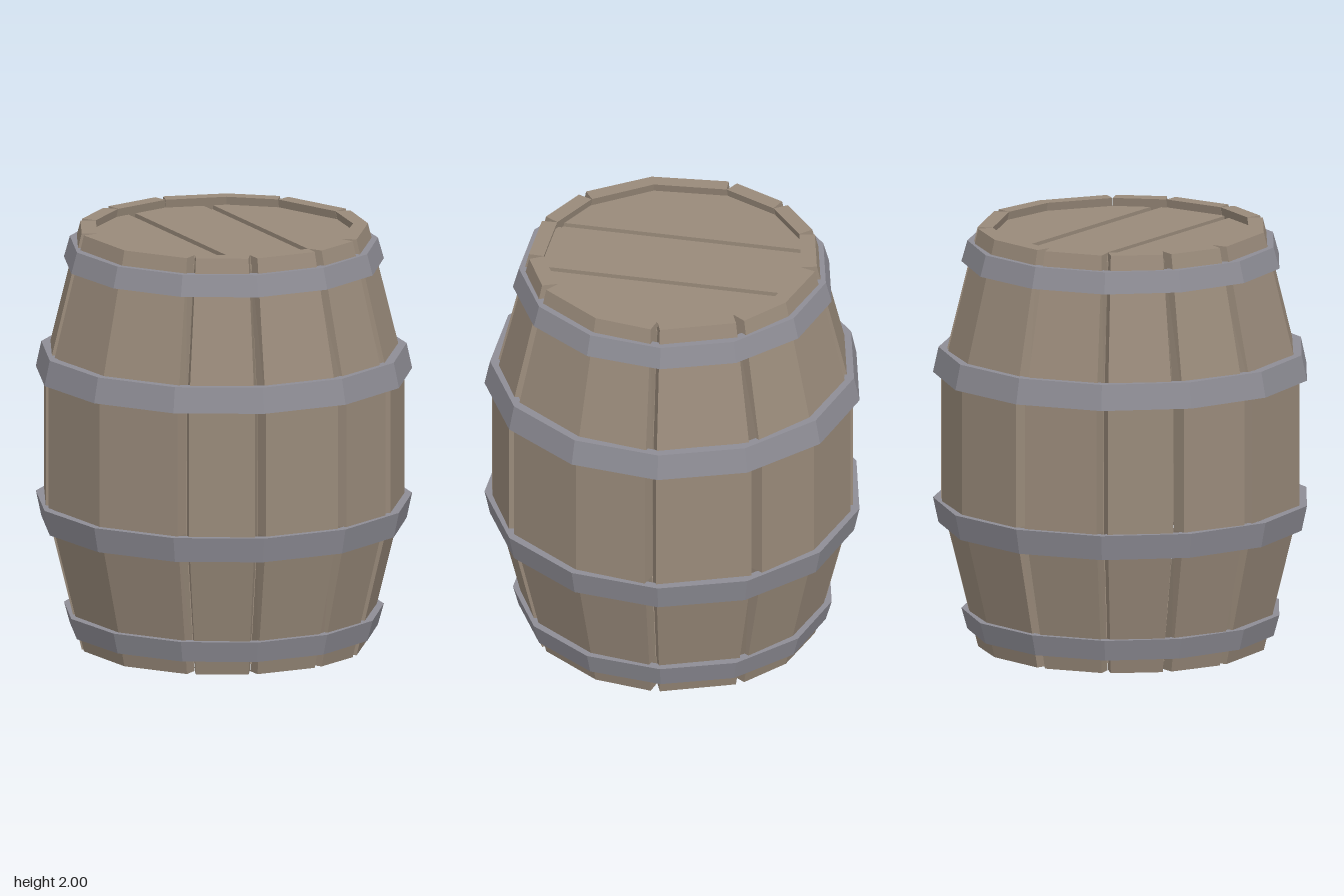
import * as THREE from 'three';

const SIDES = 13;
const RAD = Math.PI / 180;
const STEP = 360 / SIDES;

// Point at angle a (degrees, clockwise from the back as seen from above)
const polar = (r, a, y) => new THREE.Vector3(r * Math.sin(a * RAD), y, -r * Math.cos(a * RAD));

// One stave: lofted between heights, wedge-sided so neighbours leave a V groove
function staveGeometry(start, end, mids) {
  const levels = [[0, 0.68], [0.7, 0.852], [1.3, 0.852], [2, 0.68]];
  const gap = 1.8, thickness = 0.07;
  const outerA = [start + gap, ...mids, end - gap];
  const innerA = [start + 0.1, ...mids, end - 0.1];
  const n = outerA.length;
  const rings = levels.map(([y, r]) => [
    ...outerA.map(a => polar(r, a, y)),
    ...innerA.map(a => polar(r - thickness, a, y)).reverse(),
  ]);
  const pos = [];
  const quad = (a, b, c, d) => [a, b, c, a, c, d].forEach(p => pos.push(p.x, p.y, p.z));
  for (let k = 0; k < rings.length - 1; k++) {
    const lo = rings[k], hi = rings[k + 1];
    for (let i = 0; i < lo.length; i++) {
      const j = (i + 1) % lo.length;
      quad(lo[i], hi[i], hi[j], lo[j]);
    }
  }
  const bottom = rings[0], top = rings[rings.length - 1], last = 2 * n - 1;
  for (let i = 0; i < n - 1; i++) {
    quad(top[i], top[last - i], top[last - i - 1], top[i + 1]);
    quad(bottom[i + 1], bottom[last - i - 1], bottom[last - i], bottom[i]);
  }
  const geo = new THREE.BufferGeometry();
  geo.setAttribute('position', new THREE.Float32BufferAttribute(pos, 3));
  geo.computeVertexNormals();
  return geo;
}

// Hoop: closed four-point profile turned around the barrel
function hoopGeometry(y0, r0, y1, r1) {
  const t = 0.045;
  const profile = [[r0, y0], [r1, y1], [r1 - t, y1], [r0 - t, y0], [r0, y0]]
    .map(([r, y]) => new THREE.Vector2(r, y));
  const geo = new THREE.LatheGeometry(profile, SIDES, Math.PI).toNonIndexed();
  geo.computeVertexNormals();
  return geo;
}

// Keep the part of a convex outline on one side of the line x = limit
function clipX(points, limit, sign) {
  const out = [];
  points.forEach((p, i) => {
    const q = points[(i + 1) % points.length];
    const pIn = sign * (p.x - limit) >= 0, qIn = sign * (q.x - limit) >= 0;
    if (pIn) out.push(p);
    if (pIn !== qIn) out.push(p.clone().lerp(q, (limit - p.x) / (q.x - p.x)));
  });
  return out;
}

// Slab of the lid outline between two x limits
function lidSlab(x0, x1, y0, y1) {
  let pts = [];
  for (let k = 0; k < SIDES; k++) {
    const p = polar(0.635, k * STEP, 0);
    pts.push(new THREE.Vector2(p.x, -p.z));
  }
  pts = clipX(clipX(pts, x0, 1), x1, -1);
  const geo = new THREE.ExtrudeGeometry(new THREE.Shape(pts), { depth: y1 - y0, bevelEnabled: false });
  return geo.rotateX(-Math.PI / 2).translate(0, y0, 0);
}

export function createModel() {
  const wood = new THREE.MeshStandardMaterial({ color: 0x998a7a, flatShading: true });
  wood.name = 'wood';
  const iron = new THREE.MeshStandardMaterial({ color: 0x8e8d95, flatShading: true });
  iron.name = 'iron';

  const barrel = new THREE.Group();
  barrel.name = 'barrel';
  const add = (name, geo, mat) => {
    const mesh = new THREE.Mesh(geo, mat);
    mesh.name = name;
    barrel.add(mesh);
  };

  // Staves of uneven width; the wide ones bend at a corner
  const seams = [0, 51, 85.5, 141.5, 165.5, 194.5, 219, 282, 308, 332.3, 360];
  const bends = { 0: [STEP], 2: [4 * STEP], 6: [9 * STEP] };
  for (let i = 0; i < seams.length - 1; i++) {
    add('stave' + (i + 1), staveGeometry(seams[i], seams[i + 1], bends[i] || []), wood);
  }

  // Hoops, mirrored above and below the middle
  for (const [name, y0, r0, y1, r1] of [
    ['Middle', 1.3, 0.888, 1.42, 0.862],
    ['End', 1.83, 0.755, 1.93, 0.727],
  ]) {
    add('upper' + name + 'Hoop', hoopGeometry(y0, r0, y1, r1), iron);
    add('lower' + name + 'Hoop', hoopGeometry(2 - y1, r1, 2 - y0, r0), iron);
  }

  // Recessed lids: three planks over a backing that shows in the grooves
  const planks = [[-1, -0.215], [-0.175, 0.18], [0.225, 1]];
  for (const [name, plankY, backY] of [['top', [1.9, 1.96], [1.9, 1.94]], ['bottom', [0.04, 0.1], [0.06, 0.1]]]) {
    planks.forEach(([x0, x1], i) => add(name + 'Plank' + (i + 1), lidSlab(x0, x1, ...plankY), wood));
    add(name + 'Backing', lidSlab(-1, 1, ...backY), wood);
  }
  return barrel;
}
